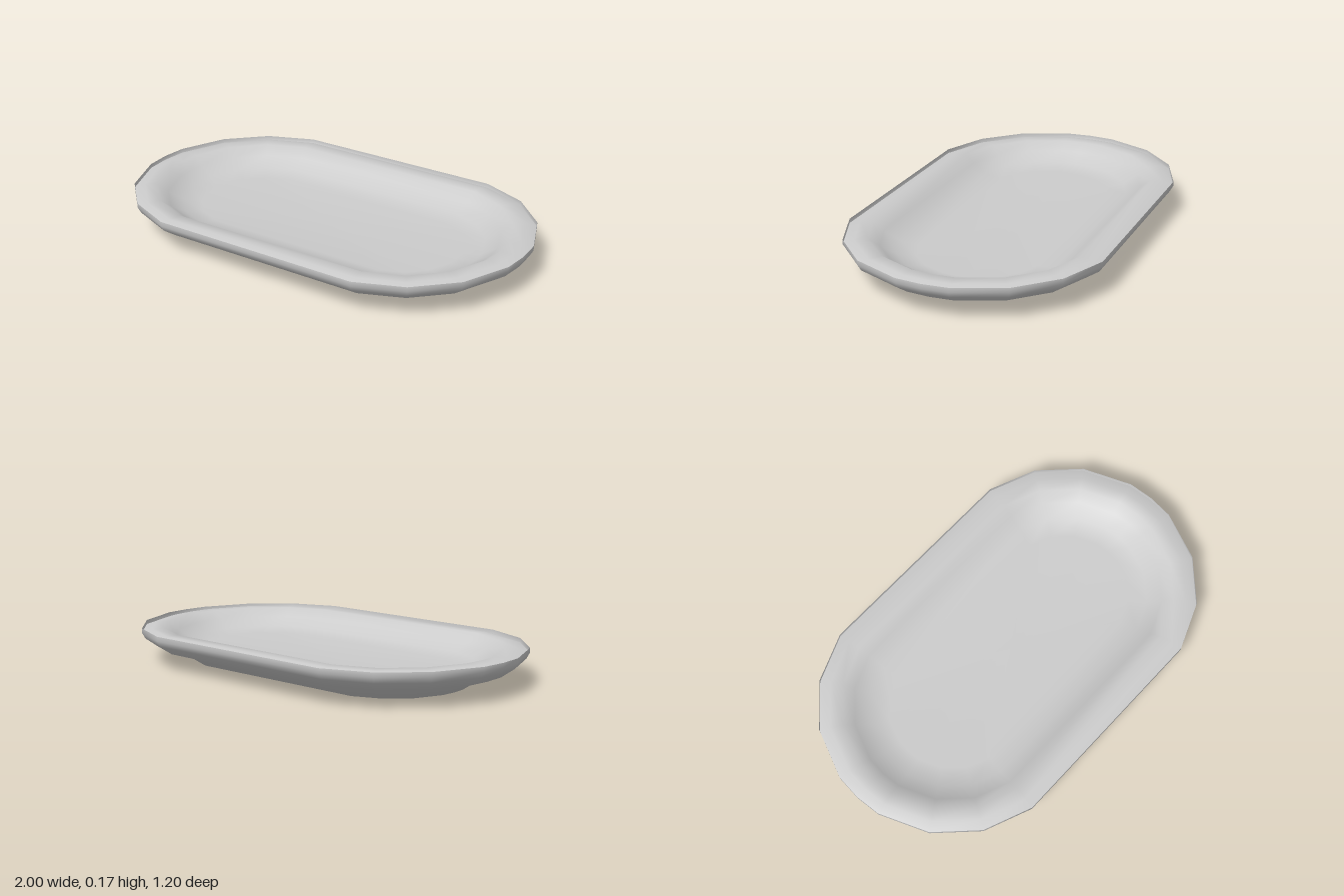
import * as THREE from 'three';

// Quarter of the rim outline (x, z), from the right tip to the front straight
const QUARTER = [[1, 0], [0.99, 0.12], [0.897, 0.345], [0.73, 0.512], [0.51, 0.602]];
const ARC_CENTRE = 0.4;

// Full outline with the outward direction of every point
function makeOutline() {
  const half = [...QUARTER, ...QUARTER.slice(1).reverse().map(([x, z]) => [-x, z]), [-1, 0]];
  const all = [...half, ...half.slice(1, -1).reverse().map(([x, z]) => [x, -z])];
  return all.map(([x, z]) => {
    const dx = x - Math.sign(x) * ARC_CENTRE;
    const len = Math.hypot(dx, z);
    return { x, z, nx: dx / len, nz: z / len };
  });
}

// Skins a profile of [inset, y] rings; an inset of null is a single centre point
function loft(name, profile, material) {
  const outline = makeOutline();
  const n = outline.length;
  const positions = [];
  const index = [];
  const rings = profile.map(([inset, y]) => {
    const start = positions.length / 3;
    if (inset === null) {
      positions.push(0, y, 0);
      return () => start;
    }
    for (const p of outline) positions.push(p.x - p.nx * inset, y, p.z - p.nz * inset);
    return (i) => start + (i % n);
  });
  for (let k = 0; k < rings.length - 1; k++) {
    const a = rings[k], b = rings[k + 1];
    for (let i = 0; i < n; i++) {
      if (profile[k + 1][0] === null) index.push(a(i), b(i), a(i + 1));
      else if (profile[k][0] === null) index.push(a(i), b(i), b(i + 1));
      else index.push(a(i), b(i), a(i + 1), b(i), b(i + 1), a(i + 1));
    }
  }
  const geometry = new THREE.BufferGeometry();
  geometry.setAttribute('position', new THREE.Float32BufferAttribute(positions, 3));
  geometry.setIndex(index);
  geometry.computeVertexNormals();
  const mesh = new THREE.Mesh(geometry, material);
  mesh.name = name;
  return mesh;
}

export function createModel() {
  const material = new THREE.MeshStandardMaterial({ color: 0xcccccc, side: THREE.DoubleSide });
  const group = new THREE.Group();
  group.name = 'servingPlatter';

  // Underside: flat base, foot, flared wall and upright lip
  group.add(loft('outerShell', [
    [null, 0], [0.255, 0], [0.2, 0.037], [0.075, 0.076], [0.015, 0.118], [0, 0.145], [0, 0.167],
  ], material));

  // Upper side: rounded rim, inner wall and shallow floor
  group.add(loft('innerDish', [
    [0, 0.147], [0.05, 0.162], [0.11, 0.163], [0.16, 0.125], [0.23, 0.085], [0.32, 0.068], [null, 0.062],
  ], material));

  return group;
}
